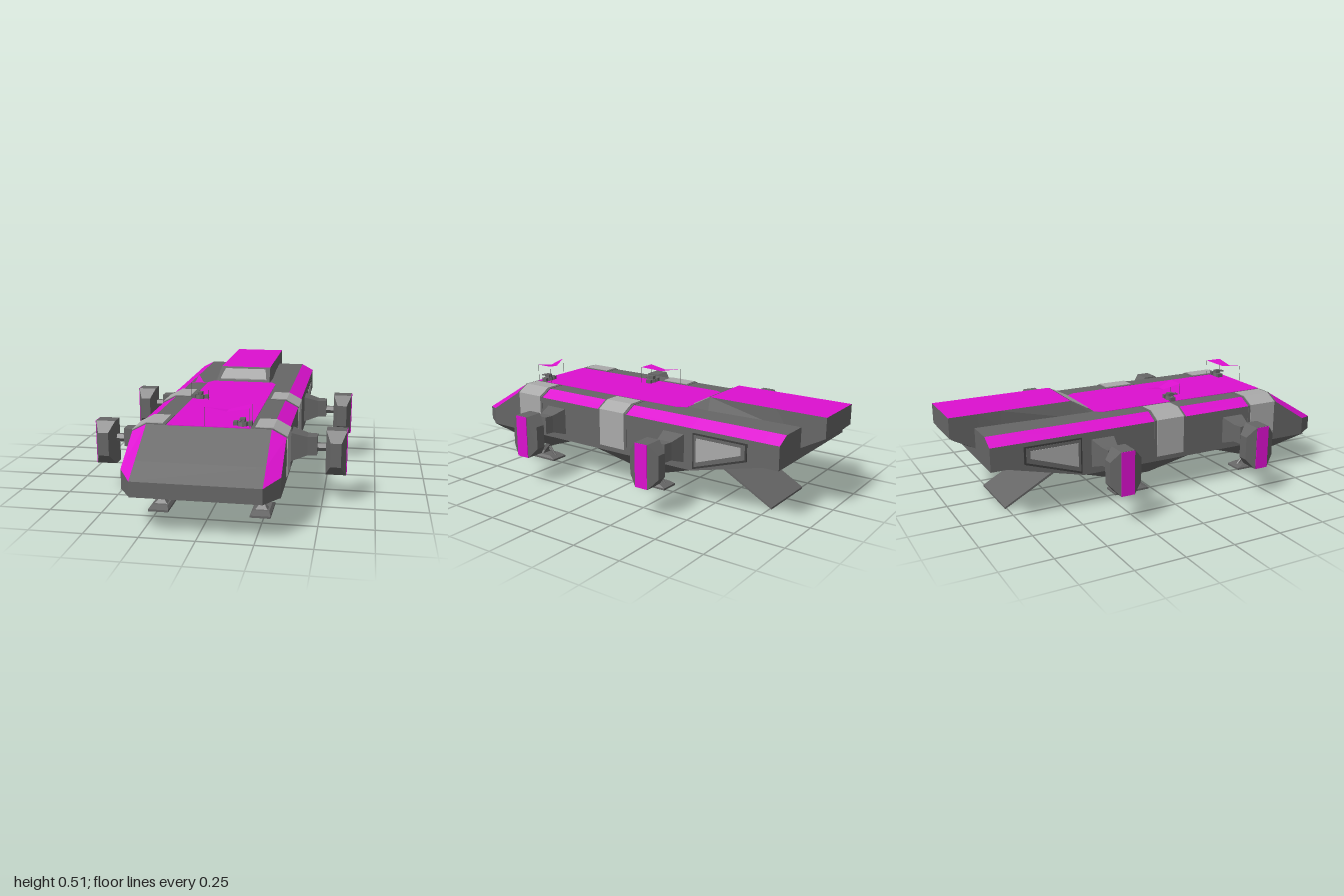
import * as THREE from 'three';

const paint = (color) => new THREE.MeshStandardMaterial({ color, flatShading: true, side: THREE.DoubleSide });

// Skin between rings of corners; only the listed strips, caps optional
function loft(rings, { strips = null, caps = true } = {}) {
  const n = rings[0].length, out = [];
  const tri = (...p) => p.forEach((q) => out.push(...q));
  for (let i = 0; i + 1 < rings.length; i++) {
    for (let j = 0; j < n; j++) {
      if (strips && !strips.includes(j)) continue;
      const k = (j + 1) % n, a = rings[i], b = rings[i + 1];
      tri(a[j], b[j], a[k]);
      tri(a[k], b[j], b[k]);
    }
  }
  const last = rings[rings.length - 1];
  if (caps) for (let j = 1; j + 1 < n; j++) {
    tri(rings[0][0], rings[0][j], rings[0][j + 1]);
    tri(last[0], last[j + 1], last[j]);
  }
  const g = new THREE.BufferGeometry();
  g.setAttribute('position', new THREE.Float32BufferAttribute(out, 3));
  g.computeVertexNormals();
  return g;
}

// Mirrored copy across x = 0 with its winding restored
function mirrored(geo) {
  const g = geo.index ? geo.toNonIndexed() : geo.clone();
  g.scale(-1, 1, 1);
  const p = g.attributes.position;
  for (let i = 0; i < p.count; i += 3) {
    const a = new THREE.Vector3().fromBufferAttribute(p, i + 1);
    const b = new THREE.Vector3().fromBufferAttribute(p, i + 2);
    p.setXYZ(i + 1, b.x, b.y, b.z);
    p.setXYZ(i + 2, a.x, a.y, a.z);
  }
  g.computeVertexNormals();
  return g;
}

// Rectangle rings: facing +z, +x and +y
const ringZ = (z, x0, x1, y0, y1) => [[x1, y0, z], [x1, y1, z], [x0, y1, z], [x0, y0, z]];
const ringX = (x, y0, y1, z0, z1) => [[x, y0, z0], [x, y1, z0], [x, y1, z1], [x, y0, z1]];
const ringY = (y, x0, x1, z0, z1) => [[x1, y, z1], [x1, y, z0], [x0, y, z0], [x0, y, z1]];

const box = (x0, x1, y0, y1, z0, z1) =>
  new THREE.BoxGeometry(x1 - x0, y1 - y0, z1 - z0).translate((x0 + x1) / 2, (y0 + y1) / 2, (z0 + z1) / 2);

// Straight round bar between two points
function bar(a, b, r) {
  const from = new THREE.Vector3(...a), to = new THREE.Vector3(...b);
  const dir = to.clone().sub(from);
  const g = new THREE.CylinderGeometry(r, r, dir.length(), 6);
  g.applyQuaternion(new THREE.Quaternion().setFromUnitVectors(new THREE.Vector3(0, 1, 0), dir.normalize()));
  return g.translate(...from.add(to).multiplyScalar(0.5).toArray());
}

export function createModel() {
  const model = new THREE.Group();
  model.name = 'sixLeggedCarrier';
  const dark = paint(0x666666), light = paint(0xaaaaaa), pink = paint(0xdd10d0), black = paint(0x3c3c3c);
  const add = (name, geo, mat) => {
    const m = new THREE.Mesh(geo, mat);
    m.name = name;
    model.add(m);
  };
  const pair = (name, geo, mat) => {
    add(name + 'Left', geo, mat);
    add(name + 'Right', mirrored(geo), mat);
  };

  // Hull: z, half width, top half width, bottom, shoulder, top
  const hull = [
    [1, 0.285, 0.285, 0.18, 0.25, 0.25],
    [0.9, 0.35, 0.285, 0.18, 0.27, 0.31],
    [0.71, 0.35, 0.285, 0.18, 0.39, 0.425],
    [-0.42, 0.35, 0.285, 0.18, 0.39, 0.425],
    [-0.8, 0.35, 0.285, 0.275, 0.39, 0.425],
    [-0.88, 0.35, 0.285, 0.275, 0.39, 0.425],
  ].map(([z, x, xt, b, s, t]) => [[x, b, z], [x, s, z], [xt, t, z], [-xt, t, z], [-x, s, z], [-x, b, z]]);
  add('hull', loft(hull, { strips: [0, 2, 4, 5] }), dark);
  add('shoulderStripes', loft(hull, { strips: [1, 3], caps: false }), pink);
  add('deckStripe', loft([0.712, -0.23, -0.275].map((z, i) =>
    ringZ(z, i < 2 ? -0.19 : -0.165, i < 2 ? 0.19 : 0.165, 0.42, 0.427))), pink);

  // Raised cabin running to the stern
  const cabin = [
    [-0.275, 0.165, 0.15, 0.41, 0.426],
    [-0.39, 0.16, 0.14, 0.41, 0.49],
    [-0.75, 0.143, 0.14, 0.41, 0.49],
    [-0.86, 0.14, 0.14, 0.325, 0.49],
    [-0.88, 0.14, 0.14, 0.325, 0.49],
    [-1, 0.14, 0.14, 0.39, 0.49],
  ].map(([z, x, xt, b, t]) => [[x, b, z], [xt, t, z], [-xt, t, z], [-x, b, z]]);
  add('cabin', loft(cabin.slice(0, 2)), dark);
  add('cabinSides', loft(cabin.slice(1), { strips: [0, 2, 3] }), dark);
  add('cabinRoof', loft(cabin.slice(1), { strips: [1], caps: false }), pink);
  add('windscreen', loft([
    [[0.13, 0.43, -0.292], [0.13, 0.441, -0.292], [-0.13, 0.441, -0.292], [-0.13, 0.43, -0.292]],
    [[0.115, 0.47, -0.37], [0.115, 0.483, -0.37], [-0.115, 0.483, -0.37], [-0.115, 0.47, -0.37]],
  ]), light);
  // Exhaust panels under the stern overhang
  const exhaust = new THREE.BoxGeometry(0.105, 0.008, 0.1).rotateX(Math.atan2(0.065, 0.12)).translate(0.066, 0.356, -0.94);
  pair('exhaust', exhaust, black);

  // Wrap-around door panels with a dark frame
  const wrap = (x0, y0, out, z0, z1) => {
    const s = new THREE.Shape([[x0, 0.41], [0.35 - 0.02, y0], [0.35 + out, y0], [0.35 + out, 0.39 + out],
      [0.285 + out, 0.425 + out], [x0, 0.425 + out]].map((p) => new THREE.Vector2(...p)));
    return new THREE.ExtrudeGeometry(s, { depth: z1 - z0, bevelEnabled: false }).translate(0, 0, z0);
  };
  for (const [label, z] of [['front', 0.62], ['middle', 0.055]]) {
    pair(label + 'DoorFrame', wrap(0.195, 0.19, 0.002, z - 0.09, z + 0.09), dark);
    pair(label + 'Door', wrap(0.21, 0.205, 0.005, z - 0.077, z + 0.077), light);
  }

  // Rear side windows
  const pane = (pts, x) => loft([pts.map(([z, y]) => [x, y, z]), pts.map(([z, y]) => [0.34, y, z])]);
  pair('windowFrame', pane([[-0.72, 0.285], [-0.72, 0.37], [-0.43, 0.37], [-0.43, 0.19]], 0.353), black);
  pair('windowSurround', pane([[-0.71, 0.292], [-0.71, 0.362], [-0.437, 0.362], [-0.437, 0.202]], 0.354), dark);
  pair('sideWindow', pane([[-0.69, 0.31], [-0.69, 0.347], [-0.45, 0.347], [-0.45, 0.228]], 0.356), light);

  // Outriggers: tapered arm, shaft and faceted pod
  for (const [label, z] of [['front', 0.43], ['rear', -0.32]]) {
    pair(label + 'Arm', loft([
      ringX(0.47, 0.24, 0.33, z - 0.033, z + 0.033),
      ringX(0.425, 0.24, 0.33, z - 0.04, z + 0.04),
      ringX(0.34, 0.21, 0.355, z - 0.062, z + 0.062),
    ]), dark);
    pair(label + 'Shaft', bar([0.46, 0.275, z], [0.53, 0.275, z], 0.021), dark);
    pair(label + 'Pod', loft([
      ringZ(z + 0.08, 0.535, 0.585, 0.2, 0.315),
      ringZ(z + 0.035, 0.512, 0.608, 0.15, 0.365),
      ringZ(z - 0.035, 0.512, 0.608, 0.15, 0.365),
      ringZ(z - 0.08, 0.535, 0.585, 0.2, 0.315),
    ]), dark);
    pair(label + 'PodStripe', box(0.6, 0.611, 0.151, 0.364, z - 0.034, z + 0.034), pink);
  }

  // Belly bulges with landing legs
  for (const [label, z] of [['front', 0.625], ['rear', -0.125]]) {
    pair(label + 'Bulge', loft([
      ringY(0.181, 0, 0.35, z - 0.29, z + 0.29),
      ringY(0.105, 0.19, 0.285, z - 0.095, z + 0.095),
    ]), dark);
    pair(label + 'Leg', loft([
      ringY(0.11, 0.22, 0.253, z - 0.06, z - 0.03),
      ringY(0.045, 0.22, 0.253, z, z + 0.03),
      ringY(0.025, 0.2, 0.273, z, z + 0.05),
    ]), dark);
    pair(label + 'Brace', bar([0.237, 0.075, z - 0.02], [0.237, 0.025, z - 0.065], 0.007), dark);
    pair(label + 'Foot', loft([
      ringY(0.032, 0.2, 0.275, z - 0.06, z + 0.06),
      ringY(0.02, 0.19, 0.285, z - 0.095, z + 0.095),
      ringY(0.01, 0.19, 0.285, z - 0.095, z + 0.095),
    ]), dark);
  }

  // Boarding ramp
  add('ramp', loft([
    ringZ(-0.43, -0.165, 0.165, 0.178, 0.192),
    ringZ(-0.76, -0.165, 0.165, 0, 0.01),
  ]), dark);
  add('rampHinge', bar([-0.16, 0.182, -0.437], [0.16, 0.182, -0.437], 0.012), dark);

  // Folded three-cornered awnings on thin poles, each over a deck gun.
  // u runs along the fold profile from the sharp tip, v across it.
  const awning = (label, at) => {
    const P = (u, y, v) => { const [x, z] = at(u, v); return [x, y, z]; };
    const tip = P(0, 0.515, 0), low = P(0.1, 0.497, 0), lowFar = P(0.1, 0.497, 0.045);
    const corner = P(0.2, 0.515, 0), far = P(0.2, 0.515, 0.09);
    const g = new THREE.BufferGeometry();
    g.setAttribute('position', new THREE.Float32BufferAttribute(
      [tip, low, lowFar, low, corner, far, low, far, lowFar].flat(), 3));
    g.computeVertexNormals();
    add(label + 'Awning', g, pink);
    for (const p of [tip, corner, far]) add(label + 'Pole', bar([p[0], 0.425, p[2]], p, 0.001), dark);
    const [gx, gz] = at(0.165, 0.04);
    add(label + 'GunBase', new THREE.CylinderGeometry(0.022, 0.026, 0.02, 8).translate(gx, 0.435, gz), dark);
    add(label + 'GunBody', box(gx - 0.012, gx + 0.012, 0.44, 0.462, gz - 0.015, gz + 0.015), dark);
    for (const s of [-1, 1]) {
      add(label + 'GunBarrel', bar([gx + s * 0.008, 0.453, gz], [gx + s * 0.008, 0.453, gz + 0.04], 0.004), dark);
      add(label + 'Crate', box(gx + s * 0.033 - 0.009, gx + s * 0.033 + 0.009, 0.425, 0.446, gz - 0.02, gz + 0.01), dark);
    }
  };
  awning('front', (u, v) => [-0.015 + u, 0.71 - v]);
  awning('middle', (u, v) => [-0.19 + v, 0.005 + u]);

  return model;
}
